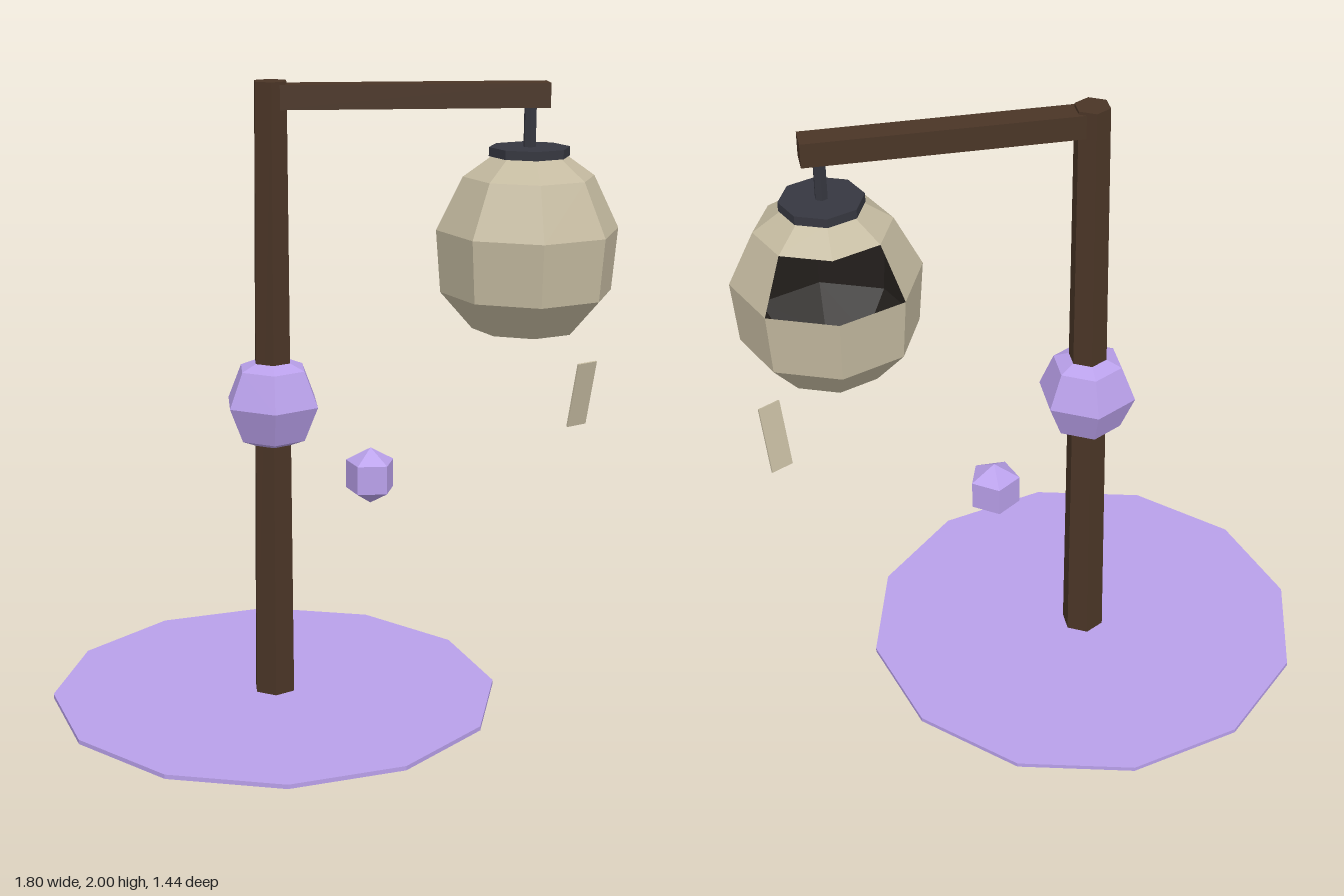
import * as THREE from 'three';

const mat = (color, side = THREE.FrontSide) =>
  new THREE.MeshStandardMaterial({ color, flatShading: true, side });

const wood = mat(0x4a3526);
const iron = mat(0x363740);
const violet = mat(0xb9a0ea);
const paper = mat(0xc4baa0);
const soot = mat(0x221e1b, THREE.BackSide);

const POST_X = -0.185;
const LAMP_X = 0.61;

// Eight-sided lantern wall from rings of [radius, y]; two panels at the back are broken out
function lanternWall(rings, brokenRow, brokenPanels) {
  const sides = 8;
  const positions = [];
  const corner = (row, k) => {
    const a = (k / sides) * Math.PI * 2;
    return [rings[row][0] * Math.sin(a), rings[row][1], rings[row][0] * Math.cos(a)];
  };
  for (let row = 0; row < rings.length - 1; row++) {
    for (let k = 0; k < sides; k++) {
      if (row === brokenRow && brokenPanels.includes(k)) continue;
      const a = corner(row, k), b = corner(row, k + 1);
      const c = corner(row + 1, k + 1), d = corner(row + 1, k);
      positions.push(...a, ...b, ...c, ...a, ...c, ...d);
    }
  }
  const geometry = new THREE.BufferGeometry();
  geometry.setAttribute('position', new THREE.Float32BufferAttribute(positions, 3));
  geometry.computeVertexNormals();
  return geometry;
}

export function createModel() {
  const group = new THREE.Group();
  const add = (name, geometry, material, x, y, z) => {
    const mesh = new THREE.Mesh(geometry, material);
    mesh.name = name;
    mesh.position.set(x, y, z);
    group.add(mesh);
    return mesh;
  };

  // Ground disc, tapered post and arm
  add('groundDisc', new THREE.CylinderGeometry(0.718, 0.718, 0.014, 12), violet, POST_X, 0.027, 0);
  add('post', new THREE.CylinderGeometry(0.055, 0.07, 2, 6), wood, POST_X, 1, 0);
  add('arm', new THREE.BoxGeometry(0.85, 0.075, 0.08), wood, 0.24, 1.953, 0);

  // Crystal growth around the post and a smaller floating one
  add('postCrystal', new THREE.SphereGeometry(0.158, 6, 4).rotateY(Math.PI / 2), violet, POST_X, 0.997, 0);
  add('smallCrystal', new THREE.SphereGeometry(0.093, 5, 3).rotateY(-Math.PI / 2), violet, 0.133, 0.725, -0.083);

  // Hanger and cap
  add('hanger', new THREE.CylinderGeometry(0.02, 0.02, 0.14, 6), iron, LAMP_X, 1.85, 0);
  add('lanternCap', new THREE.CylinderGeometry(0.126, 0.126, 0.028, 8), iron, LAMP_X, 1.779, 0);

  // Lantern wall with a dark lining
  const rings = [[0.115, 1.225], [0.168, 1.225], [0.27, 1.342], [0.286, 1.538], [0.205, 1.703], [0.115, 1.767]];
  const wall = lanternWall(rings, 3, [3, 4]);
  add('lanternShell', wall, paper, LAMP_X, 0, 0);
  add('lanternLining', wall, soot, LAMP_X, 0, 0);

  // Broken-off panel below the lantern
  const shard = add('fallenPanel', new THREE.BoxGeometry(0.076, 0.22, 0.006), paper, 0.805, 0.995, -0.032);
  const across = new THREE.Vector3(0.066, 0, -0.037).normalize();
  const up = new THREE.Vector3(0.022, 0.217, 0.039).normalize();
  const out = new THREE.Vector3().crossVectors(across, up).normalize();
  up.crossVectors(out, across);
  shard.quaternion.setFromRotationMatrix(new THREE.Matrix4().makeBasis(across, up, out));

  return group;
}
